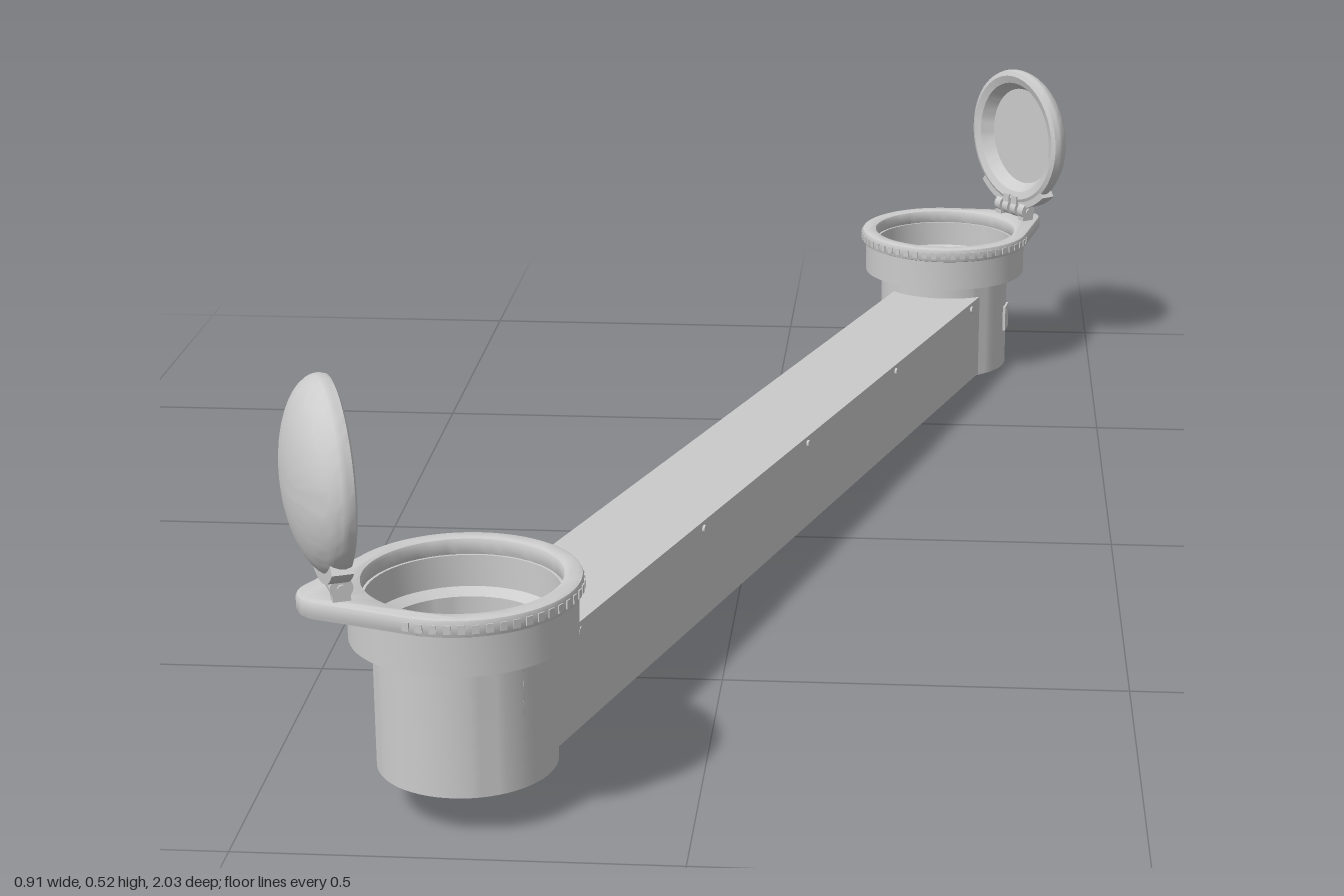
import * as THREE from 'three';
import { toCreasedNormals } from 'three/addons/utils/BufferGeometryUtils.js';

const mat = new THREE.MeshStandardMaterial({ color: 0xcccccc });
const LENGTH = 1.77; // distance between cup centres

function add(parent, name, geo, x = 0, y = 0, z = 0) {
  const m = new THREE.Mesh(geo, mat);
  m.name = name;
  m.position.set(x, y, z);
  parent.add(m);
  return m;
}

function lathe(points, segments = 64) {
  const pts = points.map(([r, y]) => new THREE.Vector2(r, y));
  return toCreasedNormals(new THREE.LatheGeometry(pts, segments), 0.5);
}

// Extrude a plan shape (x, z) upwards from y = 0 to y = height
function slab(shape, height, bevel = 0) {
  const g = new THREE.ExtrudeGeometry(shape, {
    depth: height - 2 * bevel, curveSegments: 40, bevelEnabled: bevel > 0,
    bevelSize: bevel, bevelThickness: bevel, bevelSegments: 2,
  });
  g.rotateX(Math.PI / 2);
  return g.translate(0, height - bevel, 0);
}

// Place a small box on a circle of radius r, at angle a (from +x towards +z)
function radialBox(parent, name, a, r, y, size) {
  const m = add(parent, name, new THREE.BoxGeometry(...size), r * Math.cos(a), y, r * Math.sin(a));
  m.rotation.y = -a;
  return m;
}

// Domed lid standing upright, with a shallow recess facing the cup
function createLid() {
  const lid = new THREE.Group();
  lid.name = 'lid';
  const profile = [[0, 0.016], [0.078, 0.016], [0.09, -0.002], [0.102, -0.006], [0.109, -0.003], [0.111, 0.004]];
  for (let i = 1; i <= 12; i++) {
    const t = (i / 12) * Math.PI / 2;
    profile.push([0.111 * Math.cos(t), 0.004 + 0.05 * Math.sin(t)]);
  }
  add(lid, 'lidShell', lathe(profile)).rotation.z = -Math.PI / 2;

  // Band hugging the lower rim
  const s = new THREE.Shape();
  const a = -Math.PI / 2;
  s.absarc(0, 0, 0.117, a - 0.75, a + 0.75, false);
  s.absarc(0, 0, 0.1, a + 0.75, a - 0.75, true);
  const band = new THREE.ExtrudeGeometry(s, { depth: 0.024, bevelEnabled: false, curveSegments: 24 });
  band.rotateY(Math.PI / 2);
  add(lid, 'lidBand', band, -0.004, 0, 0);
  return lid;
}

// One cup with flange, hinge and open lid; the hinge points along local +x
function createCup(name) {
  const cup = new THREE.Group();
  cup.name = name;
  add(cup, 'cupBody', lathe([
    [0, 0], [0.102, 0], [0.102, 0.155], [0.128, 0.155], [0.128, 0.203],
    [0.109, 0.203], [0.109, 0.165], [0.097, 0.157], [0.097, 0.012], [0, 0.012],
  ]));

  // Flange: ring drawn out to a tapered ear under the hinge
  const R = 0.129, r = 0.033, d = 0.147;
  const t = Math.acos((R - r) / d);
  const outline = new THREE.Shape();
  outline.absarc(0, 0, R, t, 2 * Math.PI - t, false);
  outline.absarc(d, 0, r, -t, t, false);
  const hole = new THREE.Path();
  hole.absarc(0, 0, 0.116, 0, 2 * Math.PI, true);
  outline.holes.push(hole);
  add(cup, 'flange', toCreasedNormals(slab(outline, 0.022, 0.005), 0.6), 0, 0.201, 0);

  // Grip ribs around the flange
  for (let i = 0; i <= 40; i++) {
    radialBox(cup, 'gripRib', t + (i / 40) * 2 * (Math.PI - t), 0.133, 0.212, [0.005, 0.01, 0.008]);
  }

  // Hinge knuckles, their feet and the pin
  for (let i = -1.5; i <= 1.5; i++) {
    const knuckle = new THREE.CylinderGeometry(0.013, 0.013, 0.014, 20).rotateX(Math.PI / 2);
    add(cup, 'hingeKnuckle', knuckle, 0.142, 0.238, i * 0.02);
    const low = Math.abs(i) < 1;
    add(cup, 'hingeArm', new THREE.BoxGeometry(0.02, 0.022, 0.014), 0.142, low ? 0.249 : 0.228, i * 0.02);
  }
  add(cup, 'hingePin', new THREE.CylinderGeometry(0.005, 0.005, 0.08, 16).rotateX(Math.PI / 2), 0.142, 0.238, 0);

  const lid = createLid();
  lid.position.set(0.14, 0.356, 0);
  cup.add(lid);

  // Latch through the wall and a stepped rack inside the cup
  radialBox(cup, 'latch', 0.82, 0.096, 0.08, [0.018, 0.04, 0.03]);
  for (let i = 0; i < 6; i++) {
    radialBox(cup, 'rackStep', 4.14, 0.094, 0.09 + i * 0.017, [0.014, 0.009, 0.03]);
  }
  return cup;
}

// Sloping beam whose ends wrap the cup walls
function createBeam() {
  const beam = new THREE.Group();
  beam.name = 'beam';
  const r = 0.1005, v0 = 0.058, v1 = 0.08, height = 0.13;
  const a = Math.asin(v0 / r), b = Math.asin(v1 / r);
  const drop = (u) => 0.05 * (1 - u / LENGTH);
  const s = new THREE.Shape();
  s.moveTo(r * Math.cos(a), -v0);
  s.absarc(LENGTH, 0, r, Math.PI + a, Math.PI - b, true);
  s.absarc(0, 0, r, b, -a, true);
  const geo = slab(s, height);
  const p = geo.attributes.position;
  for (let i = 0; i < p.count; i++) p.setY(i, p.getY(i) + drop(p.getX(i)));
  geo.computeVertexNormals();
  add(beam, 'beamBody', geo);

  // Row of screws near the top edge of both sides
  for (let i = 0; i < 5; i++) {
    const u = 0.131 + i * 0.382;
    for (const v of [-v0, v1]) {
      const screw = new THREE.CylinderGeometry(0.005, 0.005, 0.006, 16).rotateX(Math.PI / 2);
      add(beam, 'screw', screw, u, drop(u) + height - 0.01, v);
    }
  }
  return beam;
}

export function createModel() {
  const model = new THREE.Group();
  model.name = 'twinCupBeam';

  const front = createCup('frontCup');
  front.position.set(-0.259, 0.05, 0.853);
  front.rotation.y = -THREE.MathUtils.degToRad(157);

  const back = createCup('backCup');
  back.position.set(0.26, 0, -0.838);
  back.rotation.y = THREE.MathUtils.degToRad(37);

  const beam = createBeam();
  beam.position.set(-0.259, 0, 0.853);
  beam.rotation.y = Math.atan2(1.691, 0.519);

  model.add(front, back, beam);
  return model;
}
